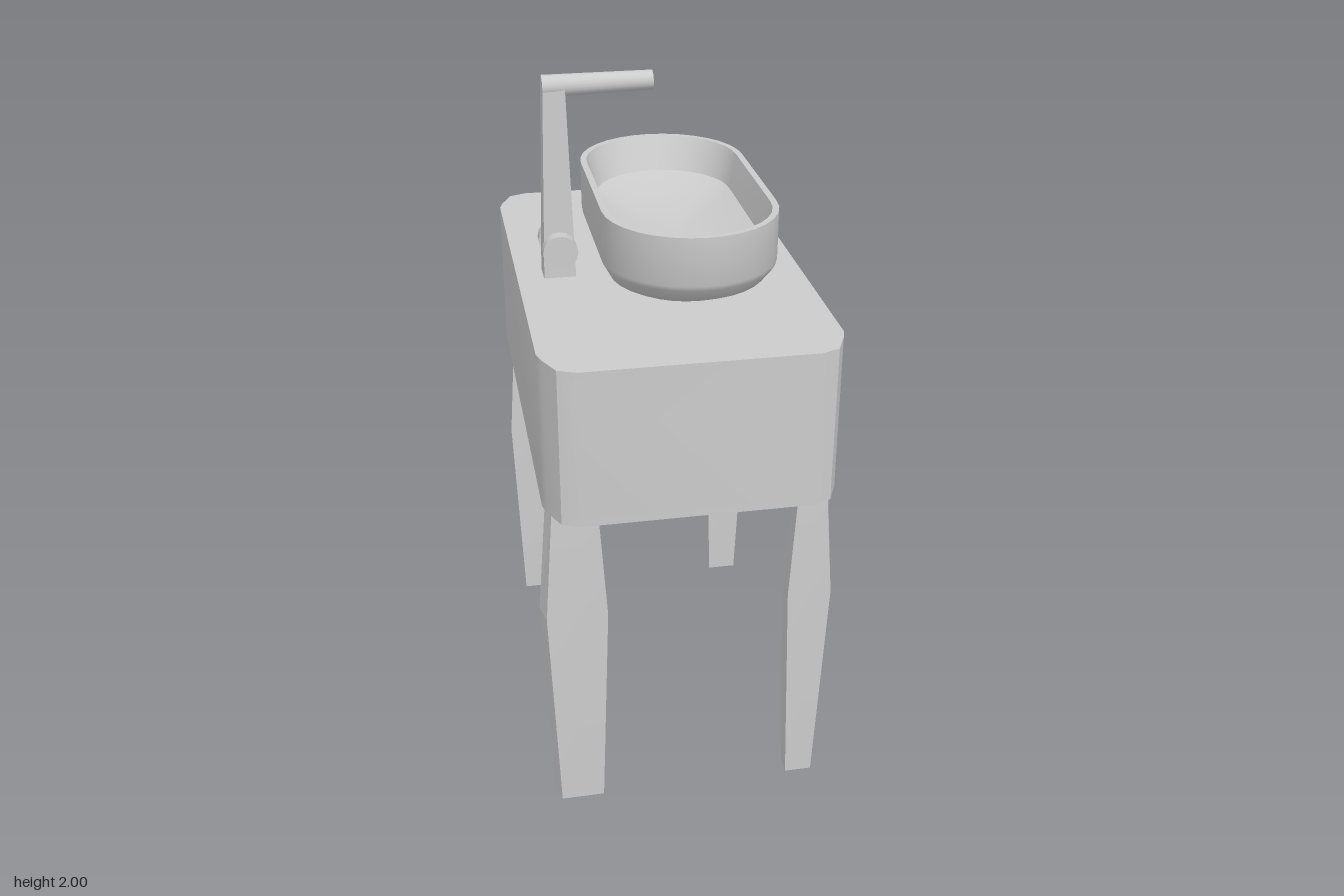
import * as THREE from 'three';
import { toCreasedNormals } from 'three/addons/utils/BufferGeometryUtils.js';

const material = new THREE.MeshStandardMaterial({ color: 0xcccccc });

function part(parent, name, geometry, x = 0, y = 0, z = 0) {
  const mesh = new THREE.Mesh(geometry, material);
  mesh.name = name;
  mesh.position.set(x, y, z);
  parent.add(mesh);
  return mesh;
}

// Skin a stack of rings; each ring runs counter-clockwise seen from above.
function loft(rings, crease = 0.6) {
  const pos = [];
  const tri = (...pts) => pts.forEach((p) => pos.push(...p));
  const n = rings[0].length;
  for (let i = 0; i < rings.length - 1; i++) {
    for (let j = 0; j < n; j++) {
      const k = (j + 1) % n;
      const [a, b, c, d] = [rings[i][j], rings[i][k], rings[i + 1][k], rings[i + 1][j]];
      tri(a, b, c);
      tri(a, c, d);
    }
  }
  const first = rings[0], last = rings[rings.length - 1];
  for (let j = 1; j < n - 1; j++) {
    tri(first[0], first[j + 1], first[j]);
    tri(last[0], last[j], last[j + 1]);
  }
  const g = new THREE.BufferGeometry();
  g.setAttribute('position', new THREE.Float32BufferAttribute(pos, 3));
  return toCreasedNormals(g, crease);
}

// Plan outline of the cabinet, with an optional notch for the drawer.
function cabinetLayer(y0, y1, notch) {
  const inset = [[0.09, 0], [0.04, 0.02], [0.01, 0.085], [0, 0.12]];
  const X0 = -0.41, X1 = 0.39, Z0 = -0.665, Z1 = 0.66;
  const reversed = [...inset].reverse();
  const pts = [
    ...inset.map(([a, b]) => [X1 - a, Z1 - b]),
    ...(notch ? [[X1, 0.46], [X1 - 0.02, 0.46], [X1 - 0.02, -0.455], [X1, -0.455]] : []),
    ...reversed.map(([a, b]) => [X1 - a, Z0 + b]),
    ...inset.map(([a, b]) => [X0 + a, Z0 + b]),
    ...reversed.map(([a, b]) => [X0 + a, Z1 - b]),
  ];
  const shape = new THREE.Shape(pts.map(([x, z]) => new THREE.Vector2(x, -z)));
  const g = new THREE.ExtrudeGeometry(shape, { depth: y1 - y0, bevelEnabled: false });
  g.rotateX(-Math.PI / 2).translate(0, y0, 0);
  return toCreasedNormals(g, 0.6);
}

// Stadium ring with half-width w and half-length l.
function stadium(w, l, y) {
  const ring = [], r = Math.min(w, l), steps = 16;
  for (const side of [-1, 1]) {
    for (let i = 0; i <= steps; i++) {
      const t = (i / steps) * Math.PI + (side > 0 ? Math.PI : 0);
      ring.push([w * Math.cos(t), y, side * (l - r) - r * Math.sin(t)]);
    }
  }
  return ring;
}

// Tapered leg: widest at mid height, outer end cut at a slant.
function leg(outer, inner, sideX, sideZ) {
  const levels = [[0, -0.025, 0.023], [0.65, 0, 0.032], [0.99, -0.025, 0.021]];
  const rings = levels.map(([y, grow, d]) => {
    const xo = outer + grow, xi = inner - grow * 0.85;
    const ring = [
      [xi, 0.55 + d], [xo - 0.013, 0.55 + d], [xo, 0.55 - d], [xi, 0.55 - d],
    ].map(([x, z]) => [sideX * x, y, sideZ * z]);
    return sideX * sideZ < 0 ? ring.reverse() : ring;
  });
  return loft(rings, 0.1);
}

export function createModel() {
  const model = new THREE.Group();
  model.name = 'washstand';

  // Cabinet with a slightly recessed drawer front
  const cabinet = new THREE.Group();
  cabinet.name = 'cabinet';
  model.add(cabinet);
  part(cabinet, 'cabinetBase', cabinetLayer(0.99, 1.01, false));
  part(cabinet, 'cabinetBodyWithDrawer', cabinetLayer(1.01, 1.42, true));
  part(cabinet, 'countertop', cabinetLayer(1.42, 1.435, false));
  part(cabinet, 'drawerHandle', new THREE.BoxGeometry(0.058, 0.05, 0.75), 0.396, 1.205, -0.02);

  // Legs
  part(model, 'frontRightLeg', leg(0.427, 0.245, -1, 1));
  part(model, 'frontLeftLeg', leg(0.4, 0.263, 1, 1));
  part(model, 'backRightLeg', leg(0.413, 0.25, -1, -1));
  part(model, 'backLeftLeg', leg(0.4, 0.263, 1, -1));

  // Basin: outside upwards, over the rim, down into the dished floor
  const profile = [
    [0.14, 0.27, 1.435], [0.18, 0.335, 1.452], [0.215, 0.395, 1.48], [0.238, 0.44, 1.525],
    [0.24, 0.447, 1.54], [0.24, 0.447, 1.675], [0.222, 0.43, 1.675],
    [0.198, 0.383, 1.58], [0.13, 0.25, 1.55], [0.004, 0.008, 1.525],
  ];
  part(model, 'basin', loft(profile.map((p) => stadium(...p)), 0.5), 0.05, 0, -0.012);

  // Tap: tapered post, spout and two side knobs
  const tap = new THREE.Group();
  tap.name = 'tap';
  tap.position.set(-0.29, 0, 0.015);
  model.add(tap);
  const postRing = (y, w, d) => [[w, y, d], [w, y, -d], [-w, y, -d], [-w, y, d]];
  part(tap, 'tapPost', loft([postRing(1.435, 0.045, 0.04), postRing(1.97, 0.03, 0.028)], 0.1));
  const spout = part(tap, 'tapSpout', new THREE.CylinderGeometry(0.026, 0.03, 0.3, 20), 0.12, 1.972, 0);
  spout.rotation.z = -Math.PI / 2 + 0.015;
  for (const s of [-1, 1]) {
    const knob = part(tap, s > 0 ? 'frontKnob' : 'backKnob',
      new THREE.CylinderGeometry(0.049, 0.049, 0.036, 16), 0, 1.52, s * 0.055);
    knob.rotation.x = Math.PI / 2;
    const neck = part(tap, 'knobNeck', new THREE.CylinderGeometry(0.03, 0.03, 0.03, 16), 0, 1.52, s * 0.03);
    neck.rotation.x = Math.PI / 2;
  }
  return model;
}
